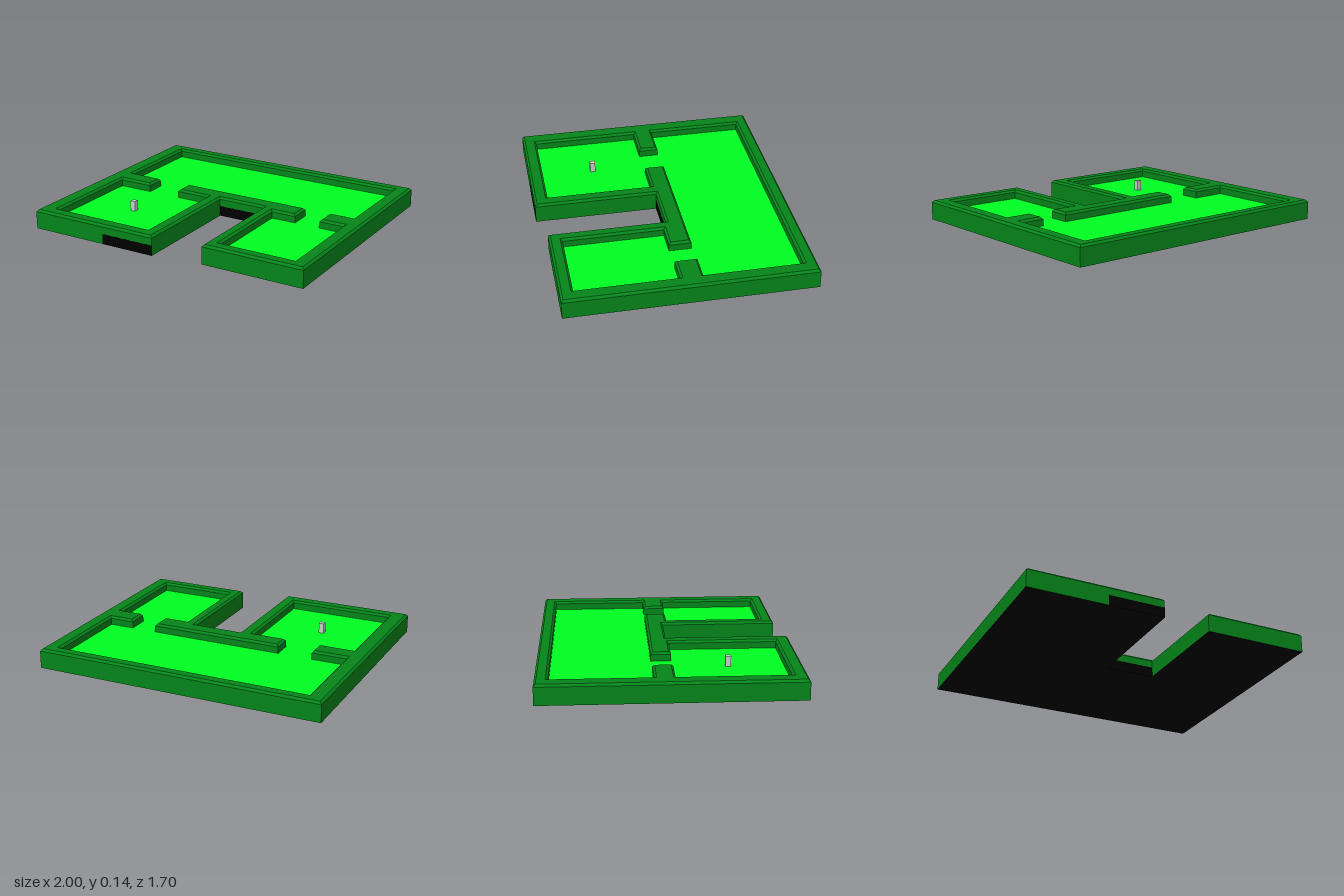
import * as THREE from 'three';

const wallGreen = new THREE.MeshStandardMaterial({ color: 0x05851a });
const floorGreen = new THREE.MeshStandardMaterial({ color: 0x00ff22 });
const black = new THREE.MeshStandardMaterial({ color: 0x000000 });
const grey = new THREE.MeshStandardMaterial({ color: 0xcccccc });

// Plan outlines as [x, z]
const outer = [
  [-1, -0.852], [1, -0.852], [1, 0.803], [0.283, 0.803], [0.283, 0.01],
  [-0.062, 0.01], [-0.062, 0.85], [-1, 0.85],
];
// Hall and two rooms, joined through the doorways
const inner = [
  [-0.885, -0.765], [0.895, -0.765], [0.895, -0.11], [0.72, -0.11],
  [0.72, 0.04], [0.895, 0.04], [0.895, 0.715], [0.365, 0.715],
  [0.365, 0.04], [0.54, 0.04], [0.54, -0.11], [-0.4, -0.11],
  [-0.4, 0.025], [-0.155, 0.025], [-0.155, 0.755], [-0.885, 0.755],
  [-0.885, 0.025], [-0.64, 0.025], [-0.64, -0.11], [-0.885, -0.11],
];

const toPoints = (plan) => plan.map(([x, z]) => new THREE.Vector2(x, -z));

export function createModel() {
  const model = new THREE.Group();
  model.name = 'floorPlan';

  // Lays a geometry drawn in plan flat at height y
  const addFlat = (name, geometry, material, y) => {
    const mesh = new THREE.Mesh(geometry.rotateX(-Math.PI / 2), material);
    mesh.name = name;
    mesh.position.y = y;
    model.add(mesh);
  };
  const addBox = (name, material, size, position) => {
    const mesh = new THREE.Mesh(new THREE.BoxGeometry(...size), material);
    mesh.name = name;
    mesh.position.set(...position);
    model.add(mesh);
  };

  // Base slab: black underside, green edges
  const slab = new THREE.ExtrudeGeometry(new THREE.Shape(toPoints(outer)), {
    depth: 0.07, bevelEnabled: false,
  });
  addFlat('baseSlab', slab, [black, wallGreen], 0);

  // Room floors
  const floor = new THREE.ShapeGeometry(new THREE.Shape(toPoints(inner)));
  addFlat('floor', floor, floorGreen, 0.075);

  // Walls with chamfered top edges; the lower chamfer is sunk in the slab.
  // The hole runs the opposite way round to the outline.
  const bevel = 0.015;
  const wallShape = new THREE.Shape(toPoints(outer));
  wallShape.holes.push(new THREE.Path(toPoints(inner).reverse()));
  const walls = new THREE.ExtrudeGeometry(wallShape, {
    depth: 0.05, bevelThickness: bevel, bevelSize: bevel,
    bevelOffset: -bevel, bevelSegments: 1,
  });
  addFlat('walls', walls, wallGreen, 0.07);

  // Dark panels on the front and at the back of the notch
  addBox('frontPanel', black, [0.388, 0.07, 0.002], [-0.256, 0.035, 0.85]);
  addBox('notchPanel', black, [0.345, 0.07, 0.002], [0.1105, 0.035, 0.01]);

  // Small post in the left room
  addBox('post', grey, [0.036, 0.075, 0.036], [-0.52, 0.1075, 0.39]);

  return model;
}
